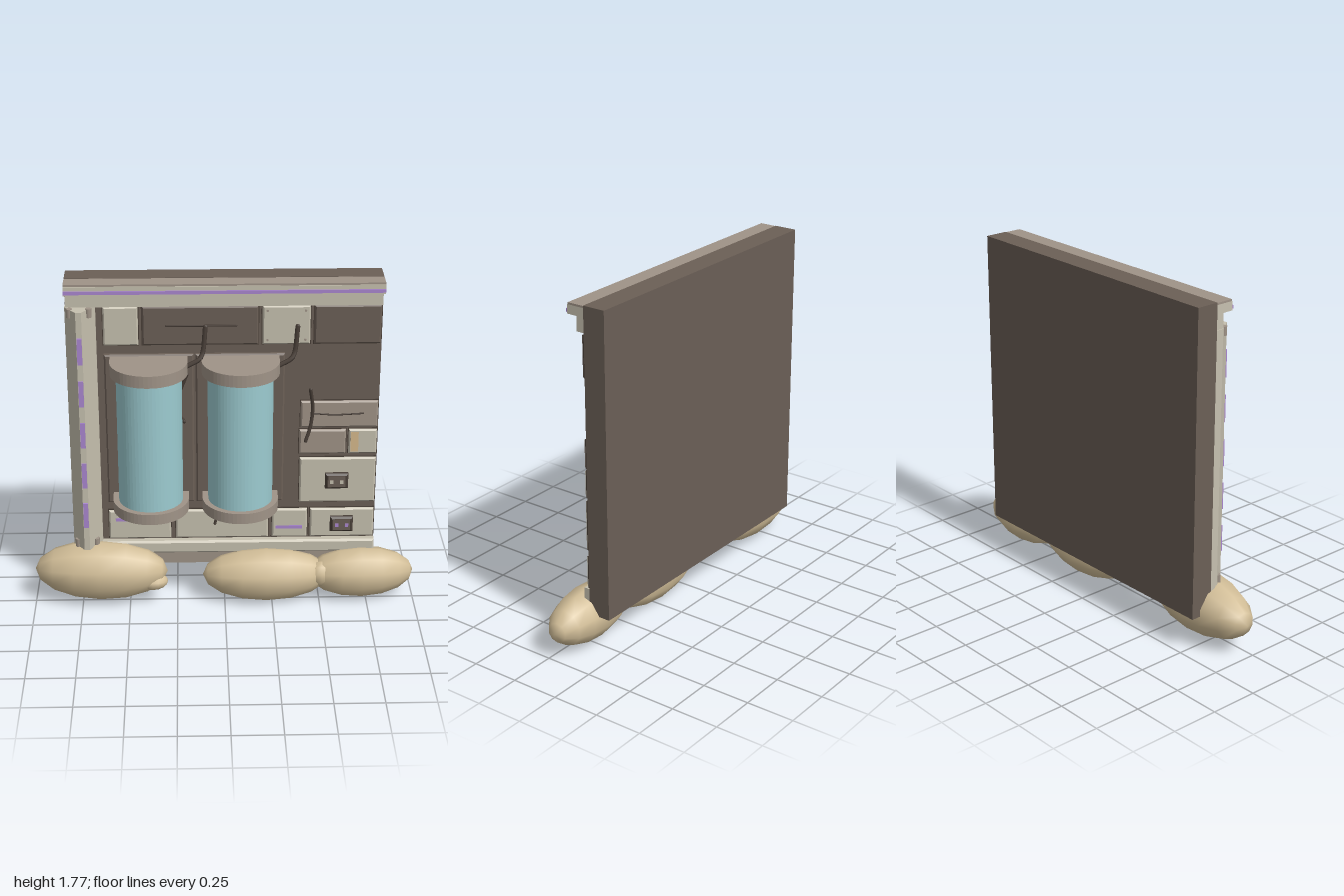
import * as THREE from 'three';

const mat = (name, color, double) => {
  const m = new THREE.MeshStandardMaterial({ color });
  m.name = name;
  if (double) m.side = THREE.DoubleSide;
  return m;
};

export function createModel() {
  const wall = mat('wall brown', 0x6b5f56);
  const light = mat('pale panel', 0xc6c0af);
  const trim = mat('taupe trim', 0x9f9387);
  const purple = mat('purple', 0xaa86d0);
  const glass = mat('tank glass', 0x9ccbd0);
  const sack = mat('sack cloth', 0xd2be98);
  const dark = mat('dark metal', 0x483e37);
  const tan = mat('tan stripe', 0xd6b98c);

  const root = new THREE.Group();
  const add = (name, geo, material, parent = root) => {
    const m = new THREE.Mesh(geo, material);
    m.name = name;
    parent.add(m);
    return m;
  };
  // Box given by its limits
  const box = (name, material, x0, x1, y0, y1, z0, z1) => {
    const m = add(name, new THREE.BoxGeometry(x1 - x0, y1 - y0, z1 - z0), material);
    m.position.set((x0 + x1) / 2, (y0 + y1) / 2, (z0 + z1) / 2);
    return m;
  };
  // Plate with chamfered front edges
  const plate = (name, material, x0, x1, y0, y1, z0, z1, b = 0.01) => {
    const w = (x1 - x0) / 2 - b, h = (y1 - y0) / 2 - b;
    const s = new THREE.Shape([[-w, -h], [w, -h], [w, h], [-w, h]].map(p => new THREE.Vector2(...p)));
    const g = new THREE.ExtrudeGeometry(s, {
      depth: z1 - z0 - b, bevelEnabled: true, bevelThickness: b, bevelSize: b, bevelSegments: 1,
    });
    const m = add(name, g, material);
    m.position.set((x0 + x1) / 2, (y0 + y1) / 2, z0);
    return m;
  };

  // Wall slab
  box('wallSlab', wall, -0.79, 0.79, 0.19, 1.78, -0.21, -0.09);

  // Top rail
  box('topRailCover', trim, -0.79, 0.79, 1.768, 1.778, -0.1, 0.0);
  box('topRail', light, -0.79, 0.79, 1.722, 1.768, -0.09, 0.005);
  box('topRailStripe', purple, -0.79, 0.79, 1.73, 1.747, 0.005, 0.012);
  box('topRailBand', light, -0.785, 0.785, 1.645, 1.722, -0.09, -0.045);

  // Bottom rail
  plate('bottomRail', light, -0.79, 0.79, 0.255, 0.325, -0.09, -0.05);
  box('bottomSkirt', trim, -0.785, 0.785, 0.19, 0.255, -0.09, -0.065);

  // Angled side column
  const section = new THREE.Shape([
    [-0.79, 0.09], [-0.64, 0.09], [-0.64, 0.075], [-0.703, -0.03], [-0.732, -0.03], [-0.79, 0.05],
  ].map(p => new THREE.Vector2(...p)));
  const column = add('sideColumn', new THREE.ExtrudeGeometry(section, { depth: 1.32, bevelEnabled: false }), light);
  column.rotation.x = -Math.PI / 2;
  column.position.y = 0.325;
  for (let i = 0; i < 5; i++) {
    const y = 0.53 + i * 0.2275;
    box('columnLight', purple, -0.73, -0.705, y - 0.07, y + 0.07, 0.028, 0.038);
  }
  for (const x of [-0.765, -0.67]) for (const y of [0.345, 1.625]) {
    const bolt = add('columnBolt', new THREE.CylinderGeometry(0.016, 0.016, 0.045, 10), trim);
    bolt.position.set(x, y, -0.022);
  }

  // Wall panels: material, x0, x1, y0, y1
  for (const [m, x0, x1, y0, y1] of [
    [light, -0.605, -0.43, 1.43, 1.635], [wall, -0.41, 0.17, 1.43, 1.635],
    [light, 0.19, 0.43, 1.43, 1.635], [wall, 0.45, 0.785, 1.43, 1.635],
    [trim, 0.39, 0.785, 0.97, 1.115], [trim, 0.385, 0.625, 0.82, 0.955],
    [light, 0.64, 0.785, 0.82, 0.955], [light, 0.39, 0.785, 0.54, 0.795],
    [light, -0.605, -0.28, 0.335, 0.5], [light, -0.255, 0.23, 0.335, 0.5],
    [light, 0.25, 0.435, 0.335, 0.5], [light, 0.45, 0.785, 0.335, 0.5],
  ]) {
    box('panelSurround', dark, x0 - 0.004, x1 + 0.004, y0 - 0.004, y1 + 0.004, -0.09, -0.084);
    plate('wallPanel', m, x0, x1, y0, y1, -0.09, -0.07, 0.008);
  }
  // Corner screws of the upper pale panel
  for (const x of [0.215, 0.405]) for (const y of [1.455, 1.61]) {
    const screw = add('panelScrew', new THREE.CylinderGeometry(0.006, 0.006, 0.006, 8), trim);
    screw.rotation.x = Math.PI / 2;
    screw.position.set(x, y, -0.068);
  }
  // Painted panel stripes
  box('panelStripe', purple, -0.57, -0.32, 0.44, 0.457, -0.072, -0.066);
  box('panelStripe', purple, 0.27, 0.41, 0.387, 0.404, -0.072, -0.066);
  box('tanStripe', tan, 0.65, 0.69, 0.832, 0.943, -0.072, -0.066);

  // Socket boxes
  for (const [y, m] of [[0.67, light], [0.417, purple]]) {
    const x = y > 0.5 ? 0.583 : 0.615;
    plate('socketFrame', dark, x - 0.06, x + 0.06, y - 0.043, y + 0.043, -0.072, -0.045);
    box('socketFace', wall, x - 0.045, x + 0.045, y - 0.03, y + 0.03, -0.046, -0.042);
    for (const s of [-1, 1])
      box('socketPin', m, x + s * 0.026 - 0.009, x + s * 0.026 + 0.009, y - 0.009, y + 0.009, -0.043, -0.038);
  }

  // Half-round tanks with rims
  const halfRound = (name, material, r, x, y0, y1) => {
    const s = new THREE.Shape();
    s.moveTo(-r, 0.07);
    s.lineTo(-r, 0);
    s.absarc(0, 0, r, Math.PI, Math.PI * 2, false);
    s.lineTo(r, 0.07);
    const g = new THREE.ExtrudeGeometry(s, { depth: y1 - y0, bevelEnabled: false, curveSegments: 14 });
    const m = add(name, g, material);
    m.rotation.x = -Math.PI / 2;
    m.position.set(x, y0, 0.005);
  };
  const tube = (name, points, r, material = dark) => {
    const path = new THREE.CatmullRomCurve3(points.map(p => new THREE.Vector3(...p)), false, 'centripetal');
    add(name, new THREE.TubeGeometry(path, 12, r, 6), material);
    // Closed tube ends
    for (const t of [0, 1]) add(name + 'End', new THREE.SphereGeometry(r, 6, 4), material).position.copy(path.getPoint(t));
  };
  for (const x of [-0.38, 0.08]) {
    plate('tankBackplate', wall, x - 0.225, x + 0.225, 0.55, 1.38, -0.09, -0.068, 0.008);
    halfRound('tankGlass', glass, 0.165, x, 0.61, 1.32);
    halfRound('tankLowerRim', trim, 0.195, x, 0.558, 0.615);
    halfRound('tankUpperRim', trim, 0.195, x, 1.312, 1.375);
    // Feed pipe
    tube('feedPipe', [[x + 0.19, 1.345, 0], [x + 0.255, 1.375, -0.02], [x + 0.27, 1.4, -0.035],
      [x + 0.285, 1.535, -0.05]], 0.012);
  }

  // Rods and loose cables
  tube('panelRod', [[-0.29, 1.535, -0.066], [0.06, 1.535, -0.066]], 0.005);
  tube('panelSlit', [[0.45, 1.05, -0.068], [0.56, 1.043, -0.066], [0.71, 1.048, -0.068]], 0.004);
  tube('looseCable', [[0.435, 1.195, -0.04], [0.449, 1.09, -0.055], [0.44, 0.99, -0.052], [0.415, 0.91, -0.035]], 0.009);
  tube('looseCable', [[-0.02, 0.57, -0.05], [-0.035, 0.5, -0.055], [-0.05, 0.43, -0.05]], 0.008);
  tube('looseCable', [[-0.19, 1.28, -0.05], [-0.23, 1.17, -0.055], [-0.245, 1.08, -0.055], [-0.205, 1.02, -0.05]], 0.01);

  // Sandbags: blunt low-sided ellipsoids lying along x
  const bag = (name, x, y, z, rx, ry, rz, turn = 0) => {
    const g = new THREE.SphereGeometry(1, 10, 8);
    g.rotateZ(Math.PI / 2);
    const m = add(name, g, sack);
    m.scale.set(rx, ry, rz);
    m.rotation.y = turn;
    m.position.set(x, y, z);
  };
  bag('sandbag', -0.65, 0.18, -0.02, 0.35, 0.16, 0.155, -0.06);
  bag('sandbag', 0.22, 0.148, -0.015, 0.335, 0.142, 0.148);
  bag('sandbag', 0.72, 0.15, -0.025, 0.28, 0.135, 0.135, 0.05);
  bag('sandbagKnot', -0.38, 0.135, 0.03, 0.08, 0.045, 0.06);
  bag('sandbagKnot', 0.51, 0.16, 0.015, 0.075, 0.07, 0.065);

  return root;
}
